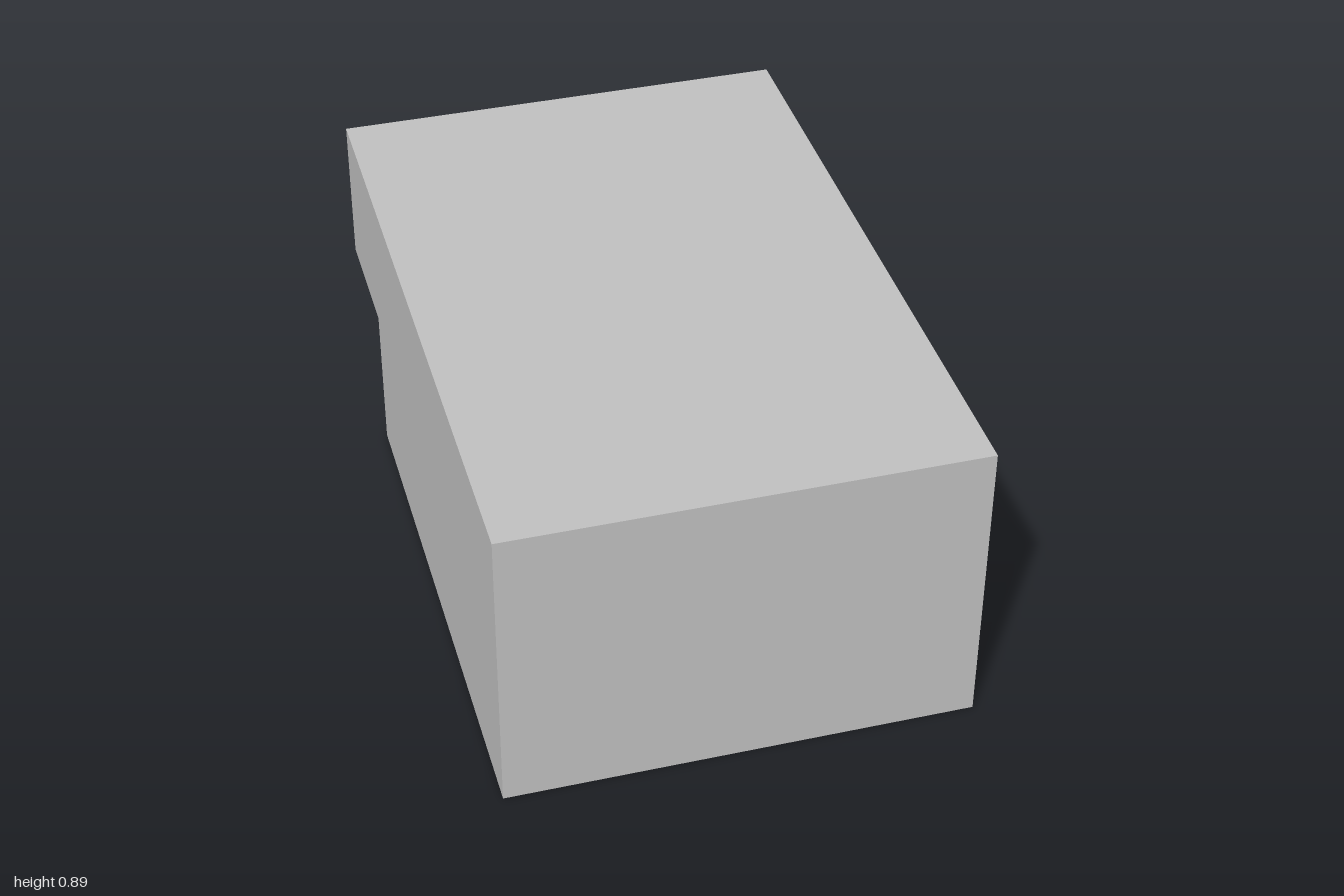
import * as THREE from 'three';

const grey = new THREE.MeshStandardMaterial({ color: 0xc0c0c0, side: THREE.DoubleSide });
grey.name = 'light grey';
const dark = new THREE.MeshStandardMaterial({ color: 0x2d2d2d });
dark.name = 'charcoal';
const blue = new THREE.MeshStandardMaterial({ color: 0x2264cc });
blue.name = 'blue';

const W = 0.665, H = 0.89; // half width, full height
const FRONT = 0.9;         // inner face of the front wall

// Grey block whose open sides (+x and -z) carry an accent colour
function block(name, [x0, x1], [y0, y1], [z0, z1], accent = grey) {
  const geometry = new THREE.BoxGeometry(x1 - x0, y1 - y0, z1 - z0);
  const mesh = new THREE.Mesh(geometry, [accent, grey, grey, grey, grey, accent]);
  mesh.position.set((x0 + x1) / 2, (y0 + y1) / 2, (z0 + z1) / 2);
  mesh.name = name;
  return mesh;
}

export function createModel() {
  const model = new THREE.Group();
  model.name = 'building';

  model.add(
    block('frontWall', [-W, W], [0, H], [FRONT, 1]),
    block('roofSlab', [-W, W], [0.8, H], [-1, FRONT]),
    block('upperStorey', [-W, 0.62], [0.535, 0.8], [-0.955, FRONT], dark),
    block('floorBand', [-W, W], [0.45, 0.535], [-1, FRONT], blue),
    block('lowerStorey', [-W, 0.265], [0, 0.45], [-0.62, FRONT], dark),
  );

  // Thin end of the right-hand party wall, beside the recessed upper storey
  const wallEnd = new THREE.Mesh(new THREE.PlaneGeometry(0.045, 0.265), grey);
  wallEnd.rotation.y = -Math.PI / 2;
  wallEnd.position.set(-W, 0.6675, -0.9775);
  wallEnd.name = 'sideWallEnd';
  model.add(wallEnd);

  return model;
}
